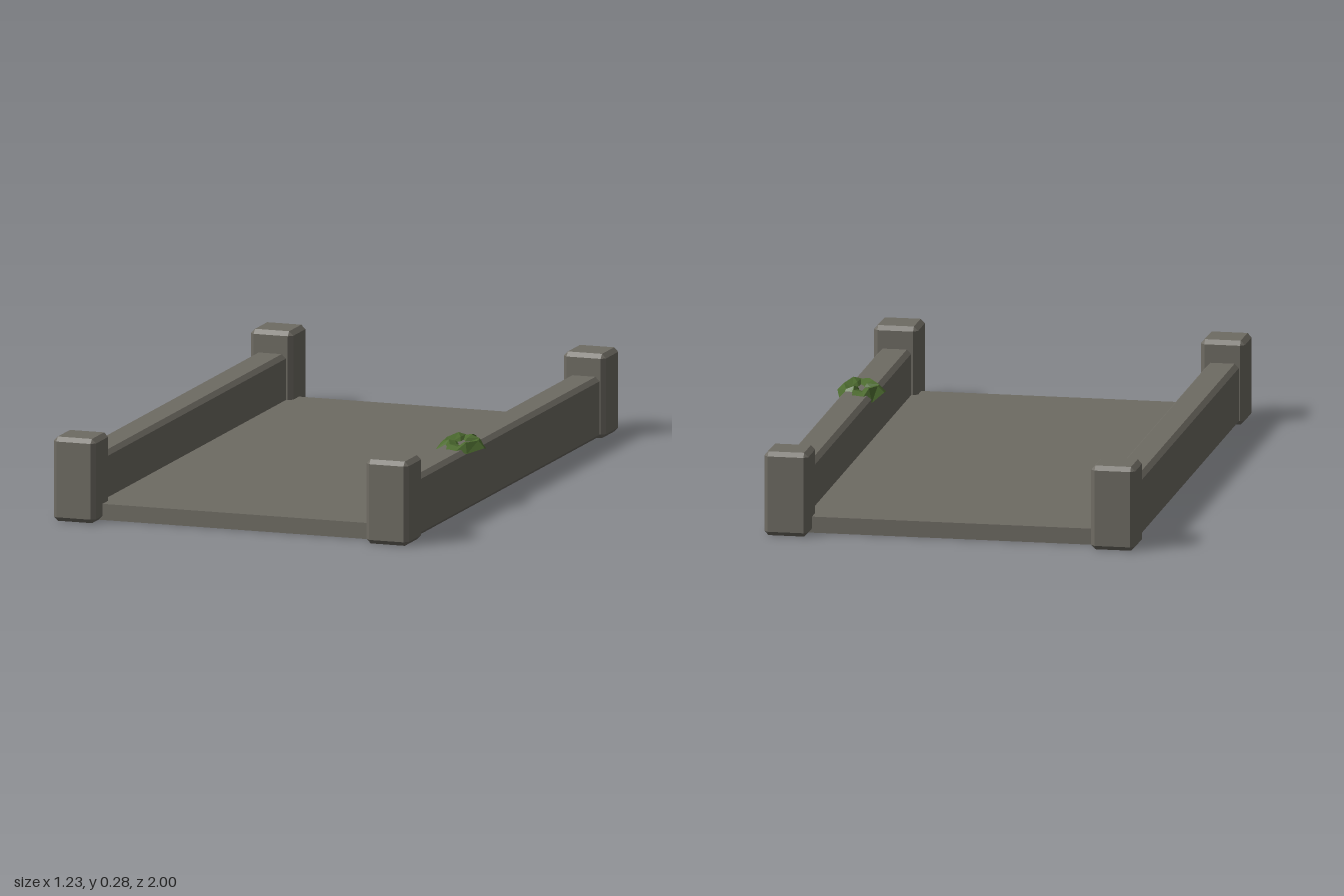
import * as THREE from 'three';
import { ConvexGeometry } from 'three/addons/geometries/ConvexGeometry.js';

const stone = new THREE.MeshStandardMaterial({ color: 0x6e6b63 });
stone.name = 'stone';
const moss = new THREE.MeshStandardMaterial({ color: 0x4d6b30, side: THREE.DoubleSide });
moss.name = 'moss';

// Block with every edge cut at 45 degrees
function chamferedBox(w, h, d, c) {
  const points = [];
  for (const sx of [-1, 1]) for (const sy of [-1, 1]) for (const sz of [-1, 1]) {
    const x = w / 2, y = h / 2, z = d / 2;
    points.push(
      new THREE.Vector3(sx * x, sy * (y - c), sz * (z - c)),
      new THREE.Vector3(sx * (x - c), sy * y, sz * (z - c)),
      new THREE.Vector3(sx * (x - c), sy * (y - c), sz * z));
  }
  return new ConvexGeometry(points);
}

// Faceted clump: an outline hanging over the rail, a raised rim and a sunken middle
function mossGeometry() {
  const outline = [
    [0.50, 0.162], [0.54, 0.165], [0.55, 0.215], [0.585, 0.21], [0.612, 0.30], [0.588, 0.40],
    [0.56, 0.426], [0.52, 0.42], [0.49, 0.35], [0.457, 0.33], [0.452, 0.27], [0.475, 0.18]];
  const n = outline.length, cx = 0.532, cz = 0.29;
  const edgeY = [0.203, 0.2, 0.195, 0.172, 0.192, 0.19, 0.203, 0.2, 0.19, 0.185, 0.195, 0.18];
  const rings = [[0.55, 0.192], [1, 0], [0.72, 0.215], [0.36, 0.208], [0.12, 0.198]];
  const pos = [], index = [];
  rings.forEach(([s, y], r) => outline.forEach(([x, z], i) => {
    const lift = r === 2 || r === 3 ? (i % 3 - 1) * 0.005 : 0;
    pos.push(cx + (x - cx) * s, r === 1 ? edgeY[i] : y + lift, cz + (z - cz) * s);
  }));
  for (let r = 0; r < rings.length - 1; r++) for (let i = 0; i < n; i++) {
    const a = r * n + i, b = r * n + (i + 1) % n;
    index.push(a, a + n, b, b, a + n, b + n);
  }
  const smooth = new THREE.BufferGeometry();
  smooth.setAttribute('position', new THREE.Float32BufferAttribute(pos, 3));
  smooth.setIndex(index);
  const flat = smooth.toNonIndexed();
  flat.computeVertexNormals();
  return flat;
}

export function createModel() {
  const group = new THREE.Group();
  const add = (name, geometry, material, x = 0, y = 0, z = 0) => {
    const mesh = new THREE.Mesh(geometry, material);
    mesh.name = name;
    mesh.position.set(x, y, z);
    group.add(mesh);
  };
  const midX = -0.0065;

  // Walkway slab
  add('deck', new THREE.BoxGeometry(1.06, 0.053, 1.85), stone, midX, 0.0265, 0);

  // Low walls with a post at each end
  const wall = chamferedBox(0.107, 0.203, 1.8, 0.014);
  const post = chamferedBox(0.145, 0.277, 0.142, 0.014);
  for (const side of [-1, 1]) {
    const label = side > 0 ? 'left' : 'right';
    add(label + 'Wall', wall, stone, midX + side * 0.538, 0.1015, 0);
    for (const end of [-1, 1]) {
      add(label + (end > 0 ? 'FrontPost' : 'BackPost'), post, stone,
        midX + side * 0.5365, 0.1385, end * 0.929);
    }
  }

  // Moss patch on the left wall
  add('mossPatch', mossGeometry(), moss);
  return group;
}
